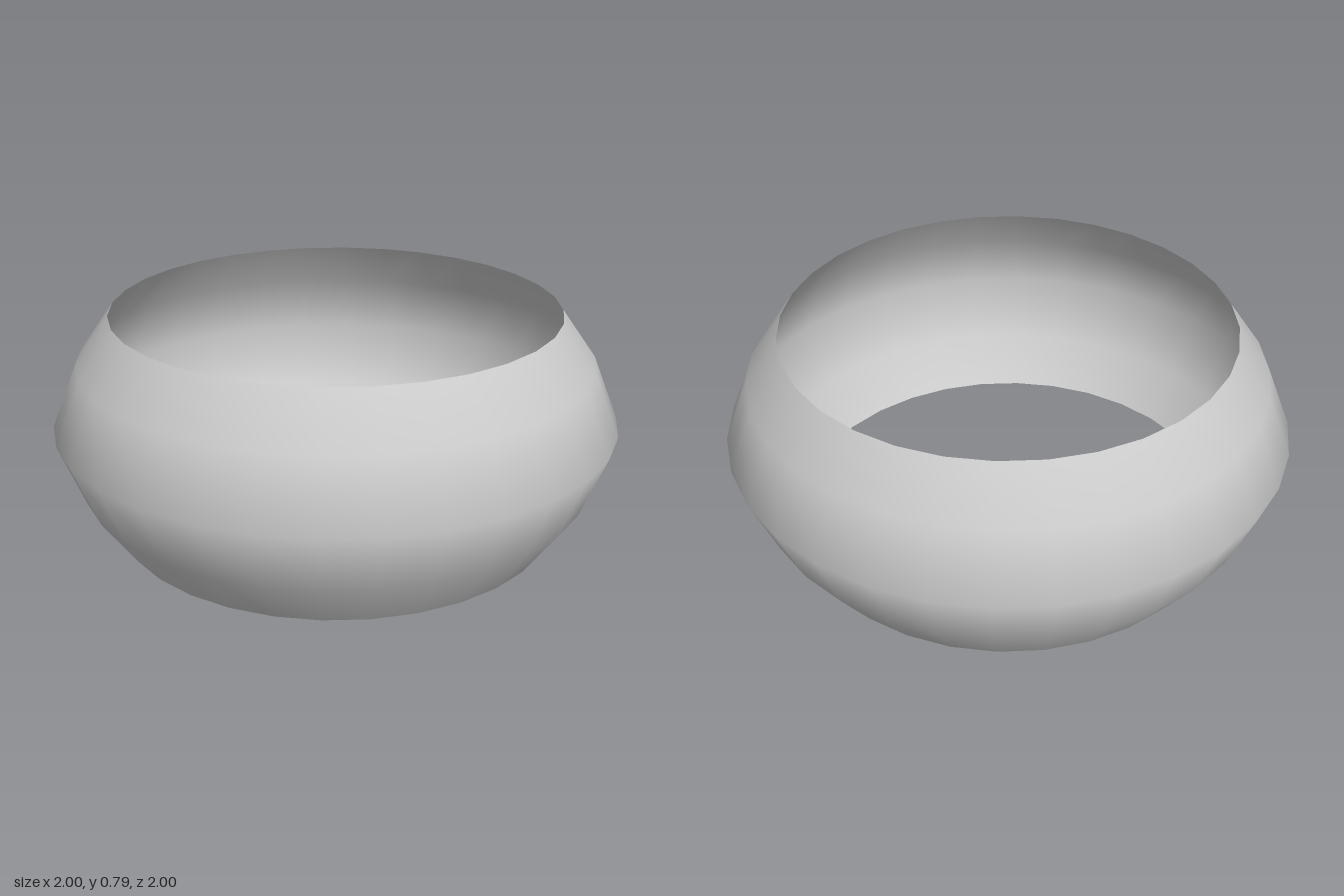
import * as THREE from 'three';

export function createModel() {
  const group = new THREE.Group();
  group.name = 'ring';

  // Open band, widest at mid height, mirrored above and below
  const half = 0.395;
  const profile = [[0.79, -half], [0.91, -0.225], [1, 0], [0.91, 0.225], [0.79, half]]
    .map(([r, y]) => new THREE.Vector2(r, y + half));

  const band = new THREE.Mesh(
    new THREE.LatheGeometry(profile, 32),
    new THREE.MeshStandardMaterial({ color: 0xcccccc, side: THREE.DoubleSide })
  );
  band.name = 'band';
  group.add(band);
  return group;
}
